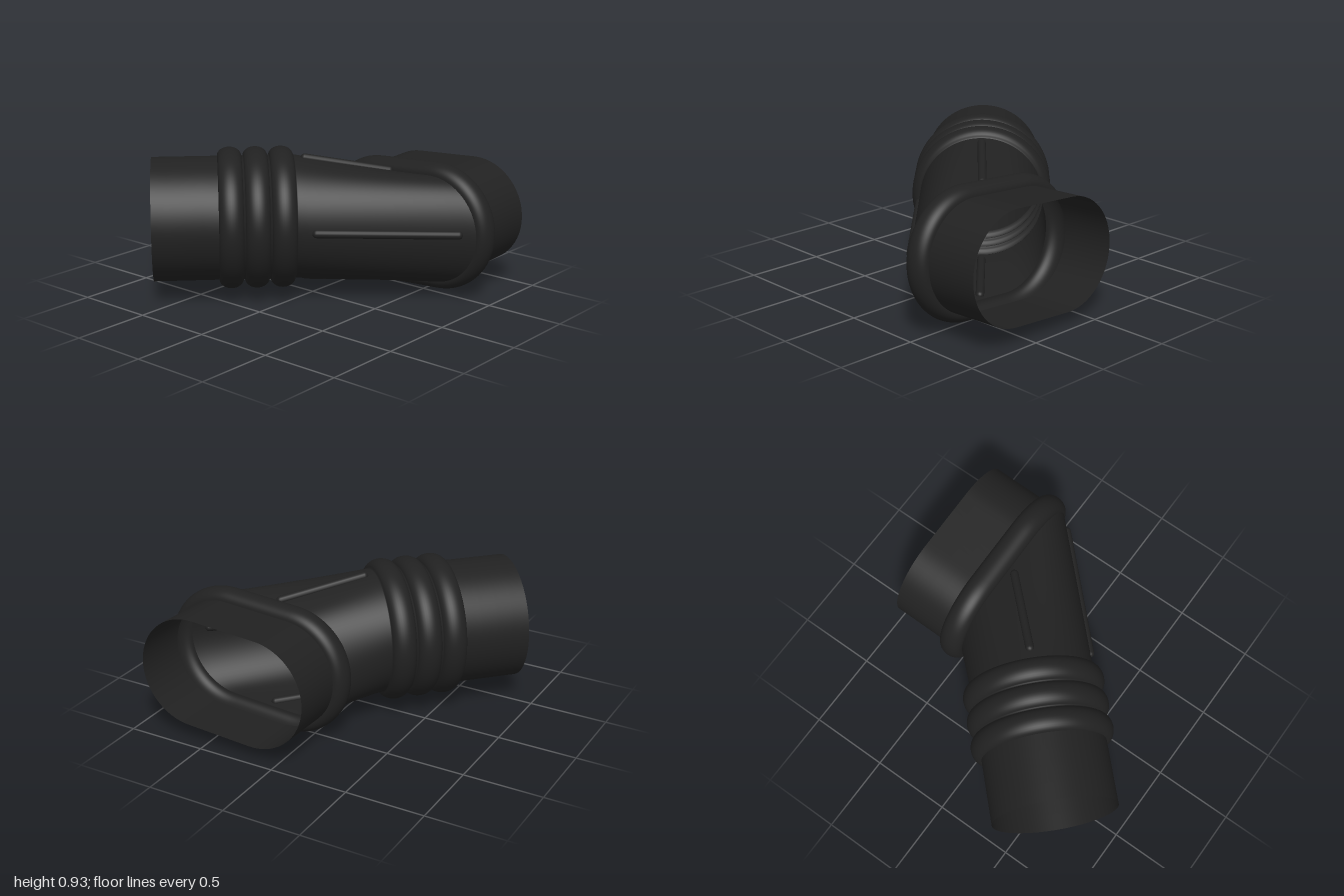
import * as THREE from 'three';

const SEG = 96;
const V = (x, y, z) => new THREE.Vector3(x, y, z);

// Closed stadium ring (a circle when H equals R) in the plane of u and v
function ring(center, u, v, H, R) {
  const points = [];
  for (let j = 0; j < SEG; j++) {
    const a = (j / SEG) * Math.PI * 2;
    const x = H * Math.cos(a);
    const f = Math.max(0, Math.abs(x) - (H - R));
    const y = Math.sign(Math.sin(a)) * Math.sqrt(Math.max(0, R * R - f * f));
    points.push(center.clone().addScaledVector(u, x).addScaledVector(v, y));
  }
  return points;
}

// Open shell through a list of rings
function skin(rings) {
  const index = [];
  for (let i = 0; i < rings.length - 1; i++) {
    for (let j = 0; j < SEG; j++) {
      const k = (j + 1) % SEG;
      const a = i * SEG + j, b = a + SEG, c = i * SEG + k, d = c + SEG;
      index.push(a, b, c, b, d, c);
    }
  }
  const geometry = new THREE.BufferGeometry().setFromPoints(rings.flat());
  geometry.setIndex(index);
  geometry.computeVertexNormals();
  return geometry;
}

// Sample a function evenly between two values
const sample = (from, to, n, fn) =>
  Array.from({ length: n + 1 }, (_, i) => fn(from + ((to - from) * i) / n));

// Half-round bulge around zero
const bulge = (d, halfWidth, height) =>
  height * Math.sqrt(Math.max(0, 1 - (d / halfWidth) ** 2));

export function createModel() {
  const group = new THREE.Group();
  const rubber = new THREE.MeshStandardMaterial({ color: 0x212121, side: THREE.DoubleSide });
  rubber.name = 'black rubber';
  const add = (name, geometry) => {
    const mesh = new THREE.Mesh(geometry, rubber);
    mesh.name = name;
    group.add(mesh);
    return mesh;
  };

  // Round end: its axis runs diagonally towards the back left
  const start = V(-0.725, 0.49, 0.68);
  const axis = V(1, 0, -1).normalize();
  const side = V(1, 0, 1).normalize();
  const up = V(0, 1, 0);
  const round = (s, r) => ring(start.clone().addScaledVector(axis, s), side, up, r, r);

  add('roundSleeve', skin(sample(0, 0.405, 4, (s) => round(s, 0.386))));

  // Three bellows ridges
  const bellows = [round(0.405, 0.386)];
  [0.48, 0.64, 0.8].forEach((s) => {
    bellows.push(...sample(-Math.PI / 2, Math.PI / 2, 16, (a) => {
      const d = 0.075 * Math.sin(a);
      return round(s + d, 0.386 + bulge(d, 0.075, 0.055));
    }));
  });
  bellows.push(round(0.88, 0.386));
  add('bellows', skin(bellows));

  // Oval end: a slightly tilted stadium facing the back
  const ovalU = V(1, 0.065, 0);
  const ovalV = V(-0.065, 1, 0.035);
  const oval = (z, grow) =>
    ring(V(0.377, 0.42 + 0.045 * (-0.51 - z), z), ovalU, ovalV, 0.557 + grow, 0.342 + grow);

  // Body blends the round section into the oval one
  const first = round(0.88, 0.386);
  const last = oval(-0.43, 0);
  const between = (t) => first.map((p, j) => p.clone().lerp(last[j], t));
  add('body', skin(sample(0, 1, 16, between)));

  // Bead and sleeve of the oval end
  add('ovalBead', skin(sample(-Math.PI / 2, Math.PI / 2, 24, (a) => {
    const d = 0.08 * Math.sin(a);
    return oval(-0.51 - d, bulge(d, 0.08, 0.064));
  })));
  add('ovalSleeve', skin(sample(-0.59, -0.9425, 4, (z) => oval(z, 0))));

  // Rounded ribs half sunk into the body: outer side, top and bottom
  [['outerRib', 0], ['topRib', SEG / 4], ['bottomRib', (SEG * 3) / 4]].forEach(([name, j]) => {
    const a = first[j].clone().lerp(last[j], 0.1);
    const b = first[j].clone().lerp(last[j], 0.9);
    const rib = add(name, new THREE.CapsuleGeometry(0.026, a.distanceTo(b), 6, 16));
    rib.position.copy(a).add(b).multiplyScalar(0.5);
    rib.quaternion.setFromUnitVectors(up, b.clone().sub(a).normalize());
  });

  return group;
}
